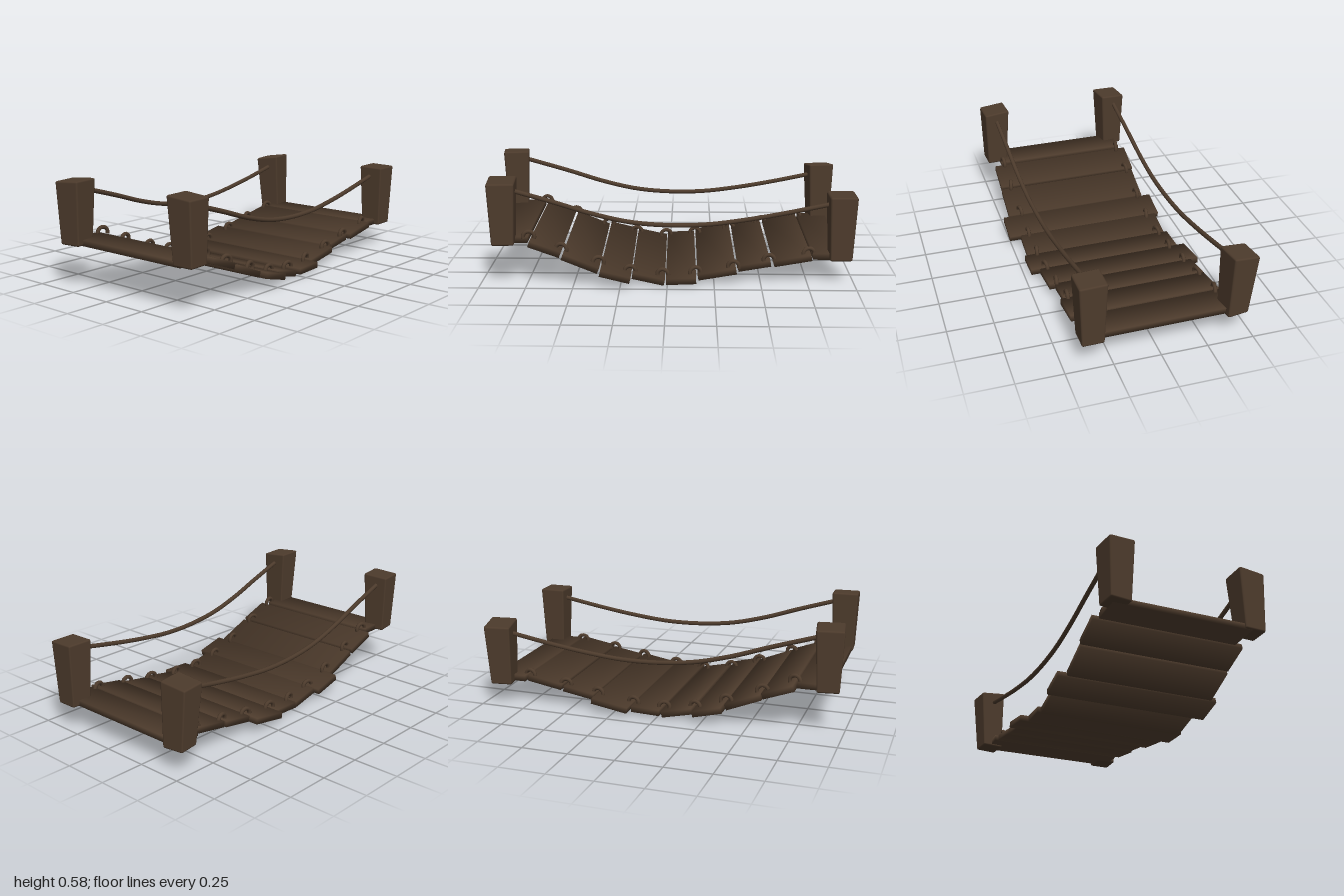
import * as THREE from 'three';
import { RoundedBoxGeometry } from 'three/addons/geometries/RoundedBoxGeometry.js';

const wood = new THREE.MeshStandardMaterial({ color: 0x4d3b2c });
wood.name = 'dark brown wood';

// Thin board with normals shared at the corners for soft, worn shading
function plankGeometry(width, thickness, depth) {
  const g = new THREE.BoxGeometry(width, thickness, depth);
  const p = g.attributes.position, n = g.attributes.normal;
  const v = new THREE.Vector3();
  for (let i = 0; i < p.count; i++) {
    v.set(0.5 * Math.sign(p.getX(i)), Math.sign(p.getY(i)), Math.sign(p.getZ(i))).normalize();
    n.setXYZ(i, v.x, v.y, v.z);
  }
  return g;
}

// Bevelled post, narrower at the foot, with a slanted top and a slight lean
function postGeometry(size, height, slant, lean) {
  const g = new RoundedBoxGeometry(size, height, size, 1, 0.01);
  const p = g.attributes.position;
  for (let i = 0; i < p.count; i++) {
    const t = p.getY(i) / height + 0.5;
    const s = 0.8 + 0.2 * t;
    const x = p.getX(i), z = p.getZ(i);
    p.setXYZ(i, x * s - lean * (1 - t), p.getY(i) + slant * x * t, z * s);
  }
  return g;
}

export function createModel() {
  const model = new THREE.Group();
  model.name = 'ropeBridge';
  const add = (name, geometry) => {
    const mesh = new THREE.Mesh(geometry, wood);
    mesh.name = name;
    model.add(mesh);
    return mesh;
  };

  // Planks, back to front: x range, back z and y, front z and y
  const planks = [
    [-0.42, 0.38, -0.94, 0.155, -0.775, 0.155],
    [-0.40, 0.405, -0.765, 0.155, -0.565, 0.12],
    [-0.40, 0.385, -0.55, 0.115, -0.375, 0.085],
    [-0.445, 0.415, -0.365, 0.08, -0.16, 0.045],
    [-0.40, 0.465, -0.15, 0.042, 0.01, 0.036],
    [-0.385, 0.445, 0.02, 0.024, 0.19, 0.062],
    [-0.41, 0.51, 0.2, 0.056, 0.36, 0.096],
    [-0.36, 0.475, 0.37, 0.098, 0.56, 0.175],
    [-0.365, 0.475, 0.57, 0.185, 0.735, 0.245],
    [-0.33, 0.43, 0.745, 0.255, 0.92, 0.255],
  ];
  planks.forEach(([x0, x1, z0, y0, z1, y1], i) => {
    const depth = Math.hypot(z1 - z0, y1 - y0);
    const plank = add('plank' + (i + 1), plankGeometry(x1 - x0, 0.033, depth));
    plank.position.set((x0 + x1) / 2, (y0 + y1) / 2, (z0 + z1) / 2);
    plank.rotation.set(-Math.atan2(y1 - y0, z1 - z0), 0.01, 0, 'YXZ');
  });

  // Corner posts: x, z, foot y, height, turn, top slant, lean
  const posts = [
    ['frontRightPost', -0.31, 0.91, 0.24, 0.34, 0.147, 0.07, 0],
    ['frontLeftPost', 0.437, 0.865, 0.243, 0.34, 0.06, -0.09, -0.01],
    ['backLeftPost', 0.35, -0.925, 0.137, 0.355, 0.02, -0.02, 0],
    ['backRightPost', -0.44, -0.895, 0.127, 0.35, 0.15, 0.15, -0.02],
  ];
  for (const [name, x, z, y, height, turn, slant, lean] of posts) {
    const post = add(name, postGeometry(0.147, height, slant, lean));
    post.position.set(x, y + height / 2, z);
    post.rotation.y = turn;
  }

  // Sagging hand ropes: z and y along the curve
  const sag = [[-0.9, 0.435], [-0.6, 0.377], [-0.4, 0.345], [-0.2, 0.323], [0, 0.322],
    [0.2, 0.342], [0.4, 0.39], [0.6, 0.455], [0.88, 0.54]];
  for (const [name, xBack, xFront, rise] of [
    ['rightRope', -0.425, -0.325, -0.007], ['leftRope', 0.34, 0.44, 0.007]]) {
    const points = sag.map(([z, y]) => new THREE.Vector3(
      THREE.MathUtils.mapLinear(z, -0.9, 0.88, xBack, xFront), y + rise, z));
    add(name, new THREE.TubeGeometry(new THREE.CatmullRomCurve3(points), 40, 0.0125, 8));
  }

  // Rope loops arching over each gap between planks: z and y of the loop centre
  const loops = [[-0.757, 0.165], [-0.545, 0.13], [-0.355, 0.095], [-0.15, 0.063], [0.025, 0.053],
    [0.2, 0.073], [0.37, 0.125], [0.565, 0.2], [0.735, 0.27]];
  const arc = Math.PI * 1.2;
  const loopGeometry = new THREE.TorusGeometry(0.03, 0.011, 8, 14, arc);
  loopGeometry.rotateZ((Math.PI - arc) / 2);
  loopGeometry.rotateY(Math.PI / 2);
  loops.forEach(([z, y], i) => {
    for (const side of [-1, 1]) {
      const loop = add((side < 0 ? 'rightLoop' : 'leftLoop') + (i + 1), loopGeometry);
      loop.position.set(side * 0.365 + 0.025 + 0.045 * z, y, z);
      loop.rotation.y = 0.2 * Math.sin(i * 2.3 + side);
    }
  });

  return model;
}
